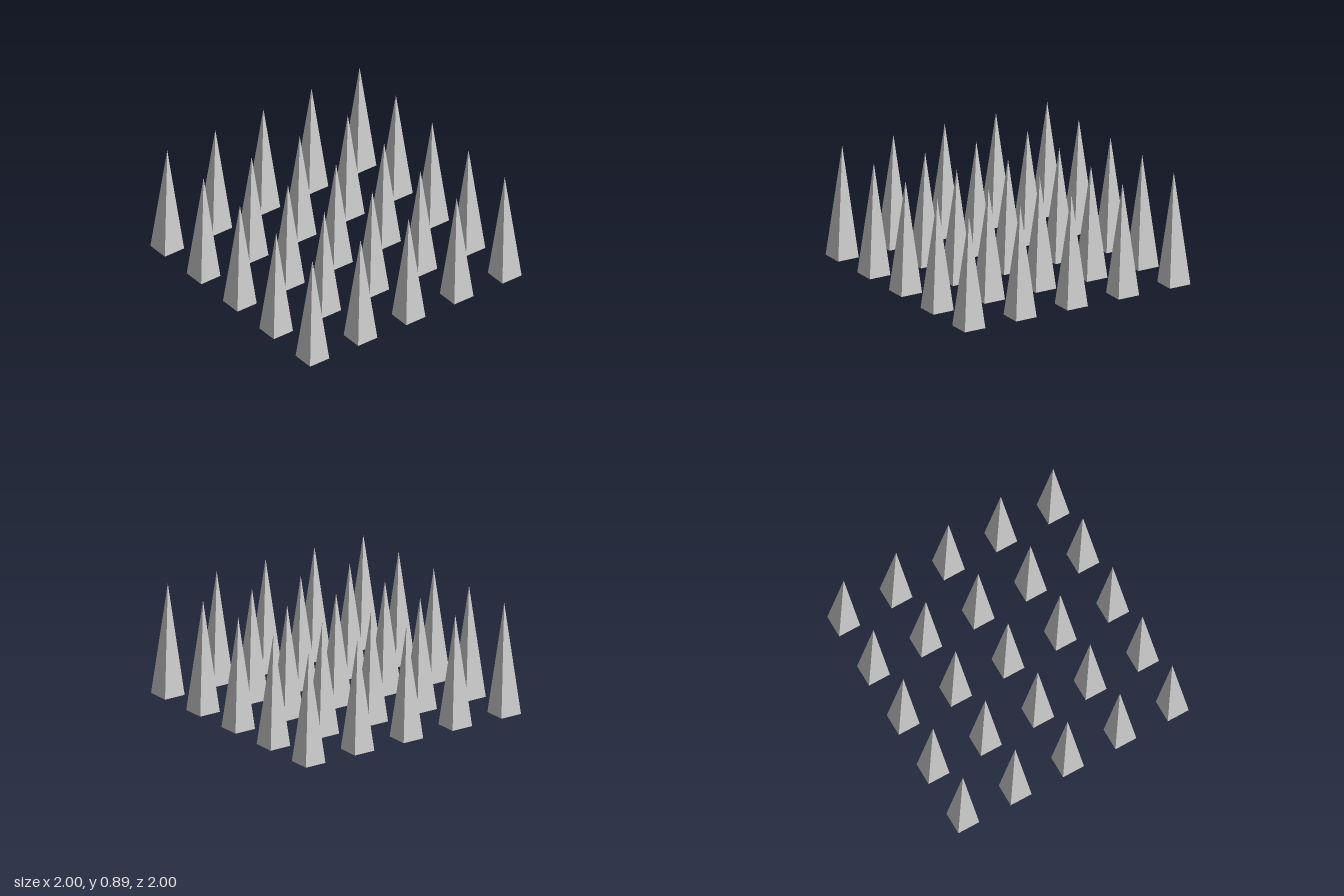
import * as THREE from 'three';

export function createModel() {
  const group = new THREE.Group();
  group.name = 'spikeField';
  const material = new THREE.MeshStandardMaterial({
    color: 0xcccccc, flatShading: true, side: THREE.DoubleSide,
  });

  const count = 5, width = 2 / 11, height = 0.89;
  const spacing = (2 - width) / (count - 1);

  // Four-sided spike, open underneath, standing on y = 0 with sides facing the axes
  const spike = new THREE.ConeGeometry(width * Math.SQRT1_2, height, 4, 1, true);
  spike.rotateY(Math.PI / 4);
  spike.translate(0, height / 2, 0);

  // Square grid of identical spikes
  for (let row = 0; row < count; row++) {
    for (let col = 0; col < count; col++) {
      const mesh = new THREE.Mesh(spike, material);
      mesh.name = `spike_${row + 1}_${col + 1}`;
      mesh.position.set((col - (count - 1) / 2) * spacing, 0, (row - (count - 1) / 2) * spacing);
      group.add(mesh);
    }
  }
  return group;
}
